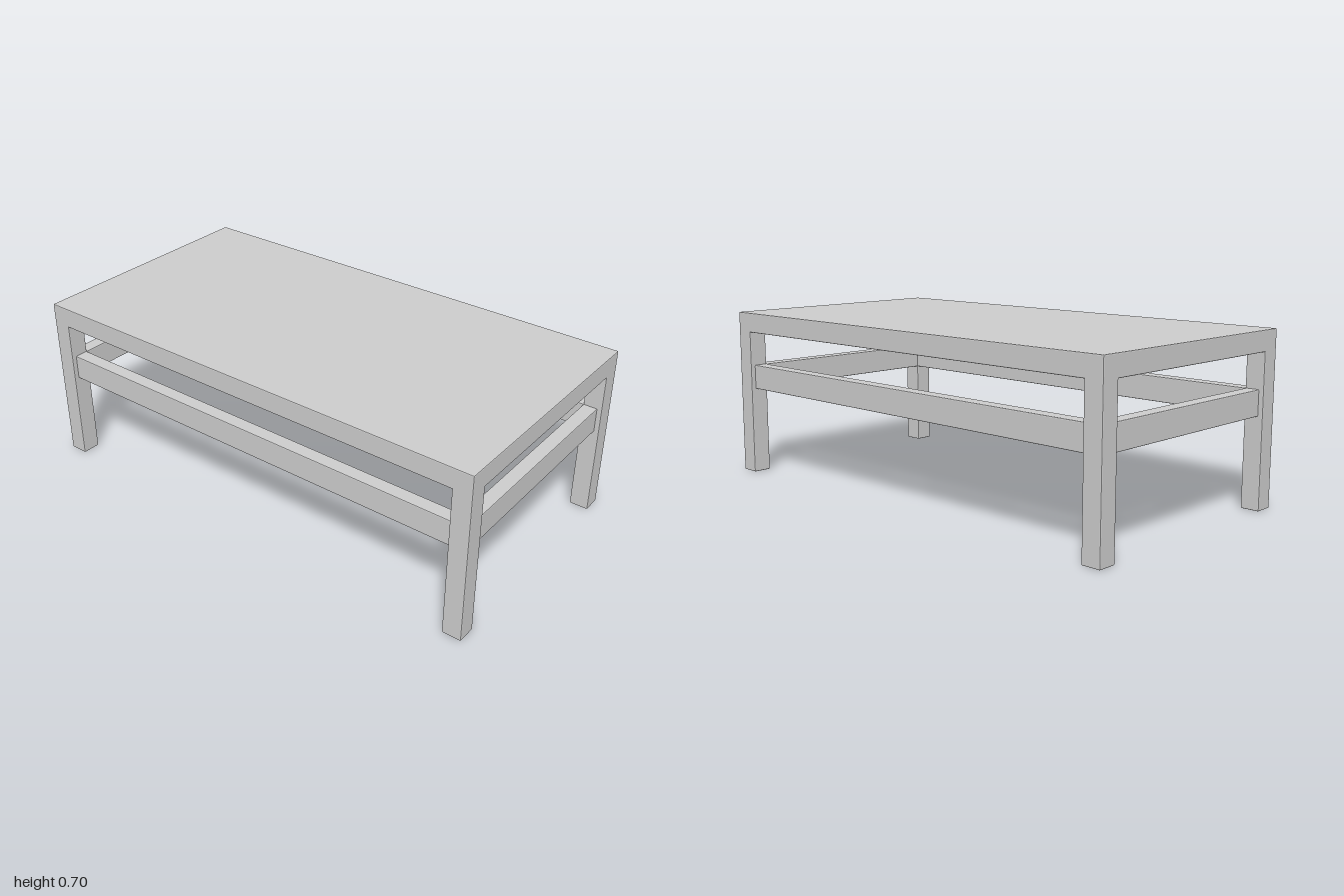
import * as THREE from 'three';
import { RoundedBoxGeometry } from 'three/addons/geometries/RoundedBoxGeometry.js';

export function createModel() {
  const table = new THREE.Group();
  table.name = 'coffeeTable';
  const material = new THREE.MeshStandardMaterial({ color: 0xcccccc, flatShading: true });

  const halfX = 1, halfZ = 0.522, height = 0.697;
  const leg = 0.078, slab = 0.083, bevel = 0.004;
  const railThick = 0.058, railBottom = 0.367, railTop = 0.47;

  // Box with finely eased edges, placed by its centre
  function board(name, w, h, d, x, y, z) {
    const mesh = new THREE.Mesh(new RoundedBoxGeometry(w, h, d, 1, bevel), material);
    mesh.name = name;
    mesh.position.set(x, y, z);
    table.add(mesh);
  }

  // Solid top
  board('tableTop', 2 * halfX, slab, 2 * halfZ, 0, height - slab / 2, 0);

  // Corner legs run up flush with the top
  for (const sx of [-1, 1]) {
    for (const sz of [-1, 1]) {
      const name = (sz > 0 ? 'front' : 'back') + (sx > 0 ? 'Left' : 'Right') + 'Leg';
      board(name, leg, height, leg, sx * (halfX - leg / 2), height / 2, sz * (halfZ - leg / 2));
    }
  }

  // Stretcher rails, flush with the inner faces of the legs and set back outside
  const railH = railTop - railBottom, railY = (railTop + railBottom) / 2;
  const inset = leg - railThick / 2;
  for (const s of [-1, 1]) {
    board(s > 0 ? 'frontRail' : 'backRail',
      2 * (halfX - leg) + 0.02, railH, railThick, 0, railY, s * (halfZ - inset));
    board(s > 0 ? 'leftRail' : 'rightRail',
      railThick, railH, 2 * (halfZ - leg) + 0.02, s * (halfX - inset), railY, 0);
  }
  return table;
}
